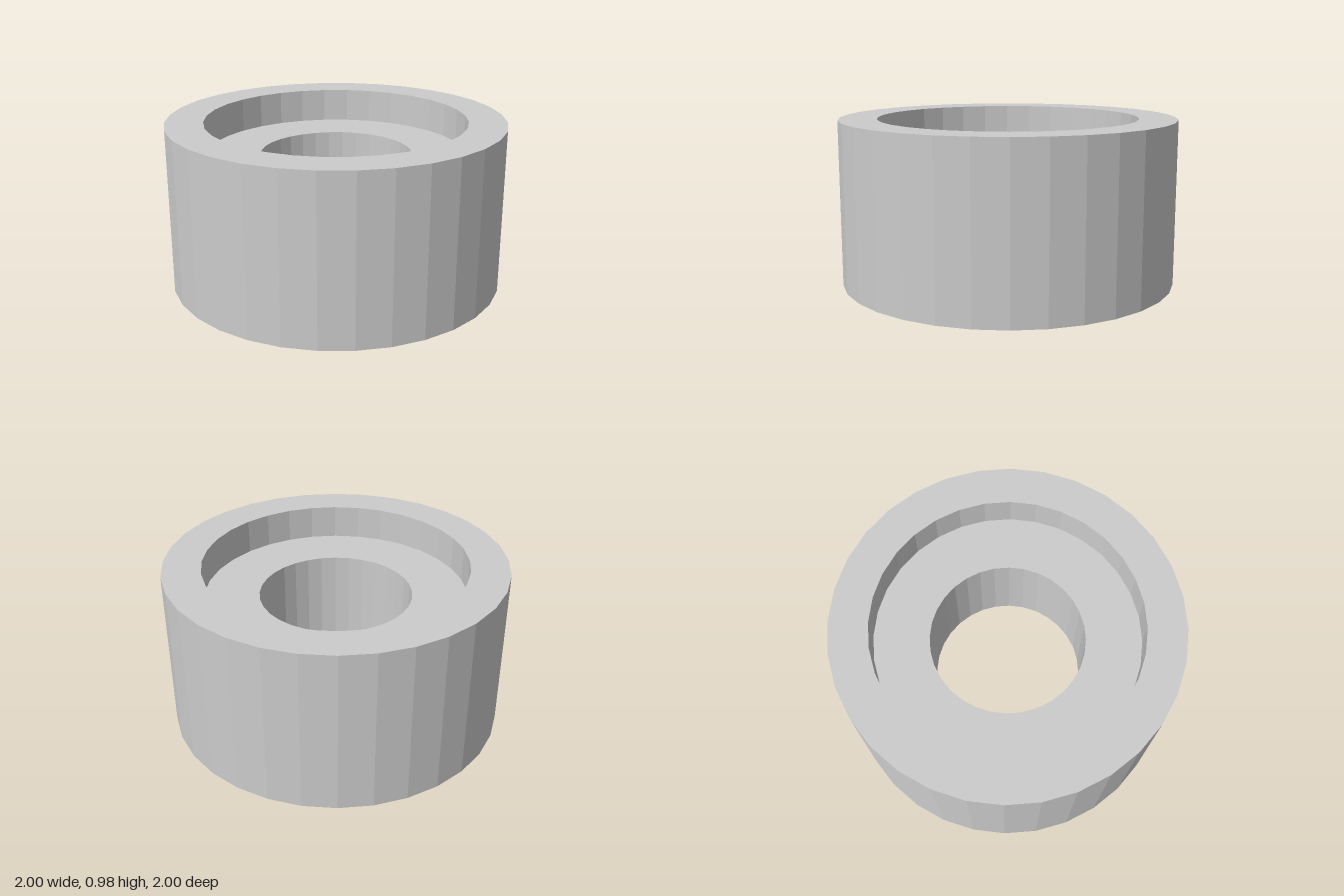
import * as THREE from 'three';

const SIDES = 32;
const HEIGHT = 0.98;
const OUTER = 1;
const RECESS = 0.775;
const BORE = 0.45;
const DEPTH = 0.205; // recess depth at each end

export function createModel() {
  const group = new THREE.Group();
  group.name = 'recessedRing';

  // Closed cross-section: up the outside, in over the top, down the bore, out underneath
  const profile = [
    [OUTER, 0], [OUTER, HEIGHT],
    [RECESS, HEIGHT], [RECESS, HEIGHT - DEPTH],
    [BORE, HEIGHT - DEPTH], [BORE, DEPTH],
    [RECESS, DEPTH], [RECESS, 0],
    [OUTER, 0],
  ].map(([r, y]) => new THREE.Vector2(r, y));

  // Faceted ring with a through bore and a counterbore at both ends
  const geometry = new THREE.LatheGeometry(profile, SIDES);
  const material = new THREE.MeshStandardMaterial({ color: 0xcccccc, flatShading: true });
  const ring = new THREE.Mesh(geometry, material);
  ring.name = 'ringBody';
  group.add(ring);

  return group;
}
